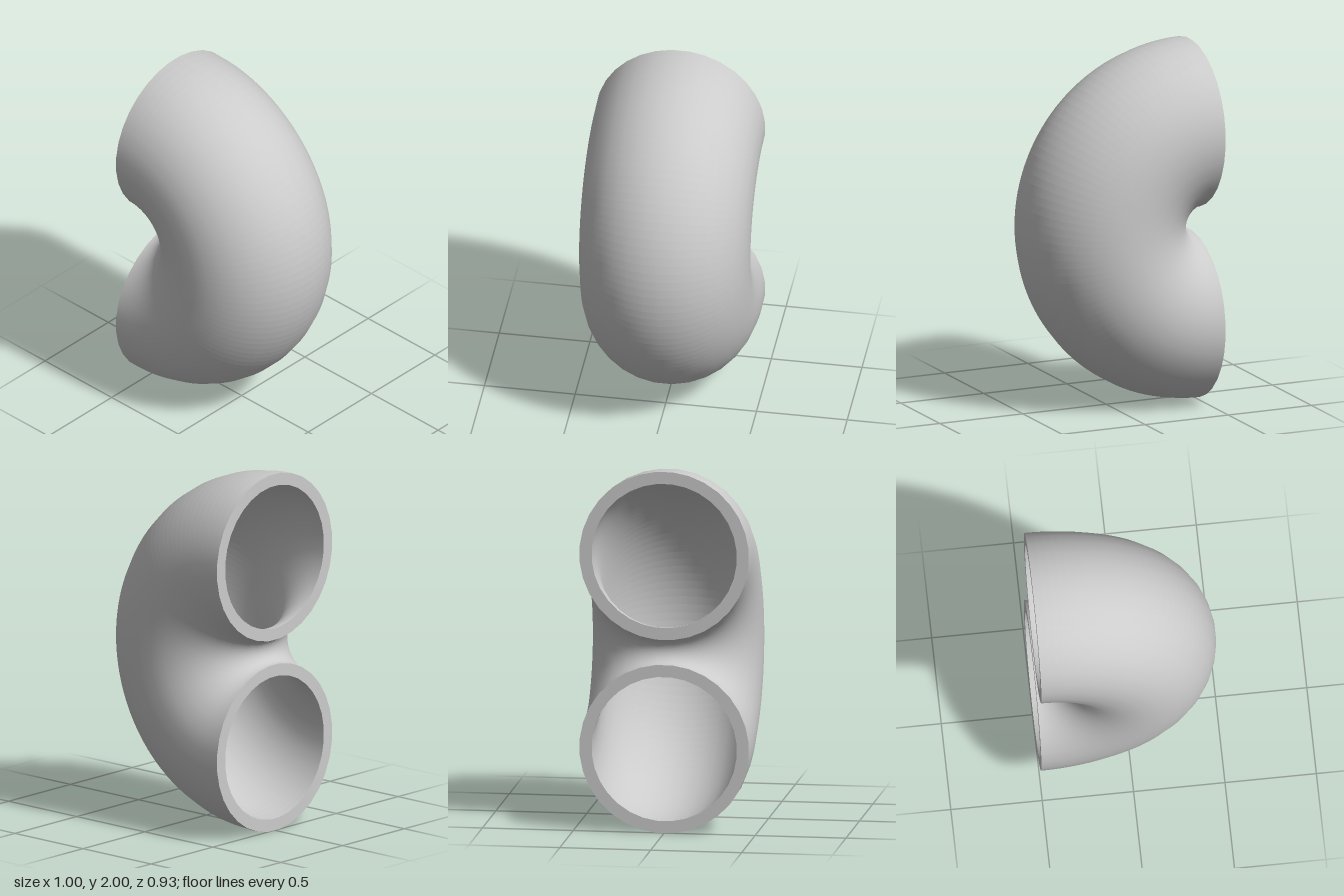
import * as THREE from 'three';
import { mergeGeometries } from 'three/addons/utils/BufferGeometryUtils.js';

const BEND = 0.535;   // radius of the bend's centre line
const OUTER = 0.467;  // outer pipe radius
const INNER = 0.4;    // bore radius
const SIDES = 32;
const STEPS = 64;
const HALF_SIDE = Math.PI / SIDES;

// Half-turn pipe wall: short cylinders bent about the z axis, each shaded as one band
function bentWall(radius, inward) {
  const axis = new THREE.Vector3(0, 0, 1);
  const v = new THREE.Vector3();
  const bands = [];
  for (let i = 0; i < STEPS; i++) {
    const g = new THREE.CylinderGeometry(radius, radius, 1, SIDES, 1, true, HALF_SIDE);
    const { position, normal } = g.attributes;
    const middle = ((i + 0.5) / STEPS - 0.5) * Math.PI;
    for (let k = 0; k < position.count; k++) {
      const angle = middle + position.getY(k) * Math.PI / STEPS;
      v.set(BEND + position.getX(k), 0, position.getZ(k)).applyAxisAngle(axis, angle);
      position.setXYZ(k, v.x, v.y, v.z);
      v.fromBufferAttribute(normal, k).applyAxisAngle(axis, middle);
      if (inward) v.negate();
      normal.setXYZ(k, v.x, v.y, v.z);
    }
    if (inward) g.index.array.reverse();
    bands.push(g);
  }
  return mergeGeometries(bands);
}

export function createModel() {
  const group = new THREE.Group();
  group.name = 'pipeBend';
  const material = new THREE.MeshStandardMaterial({ color: 0xcccccc });
  const add = (name, geometry) => {
    const mesh = new THREE.Mesh(geometry, material);
    mesh.name = name;
    mesh.position.set(-0.5, 1, 0);
    group.add(mesh);
    return mesh;
  };

  add('outerWall', bentWall(OUTER, false));
  add('innerBore', bentWall(INNER, true));

  // Flat rims closing the wall at both openings
  for (const [name, side] of [['upperRim', 1], ['lowerRim', -1]]) {
    const rim = new THREE.RingGeometry(INNER, OUTER, SIDES, 1, HALF_SIDE);
    rim.rotateY(-Math.PI / 2);
    add(name, rim).position.y += side * BEND;
  }
  return group;
}
